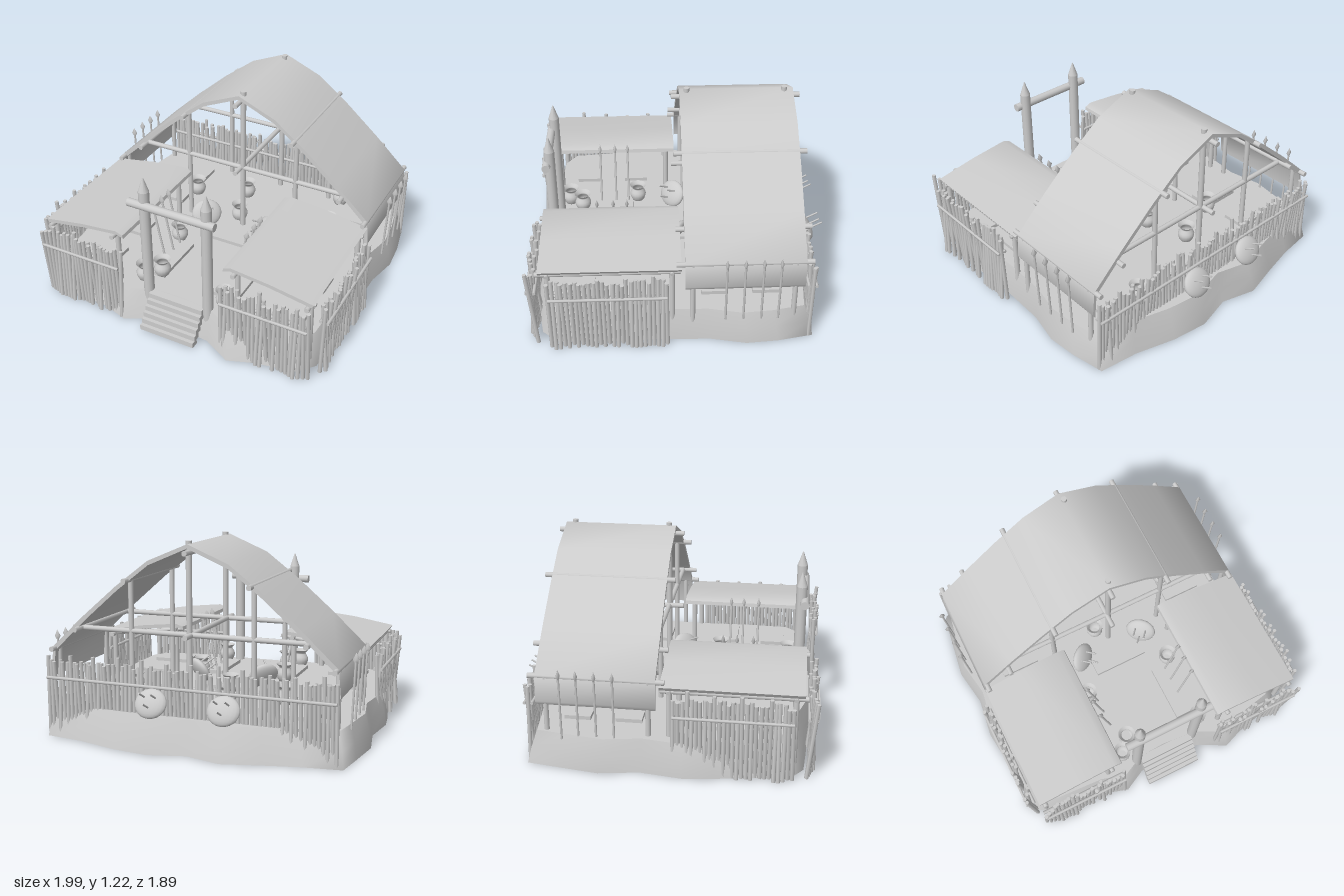
import * as THREE from 'three';
import { toCreasedNormals } from 'three/addons/utils/BufferGeometryUtils.js';

const CX = 0.0125; // centre line of the hall
const grey = new THREE.MeshStandardMaterial({ color: 0xcccccc, side: THREE.DoubleSide });
const UP = new THREE.Vector3(0, 1, 0);
let seed = 7;
const rnd = () => ((seed = (seed * 16807) % 2147483647) / 2147483647) * 2 - 1;

export function createModel() {
  const root = new THREE.Group();

  const group = (name, parent = root) => {
    const g = new THREE.Group();
    g.name = name;
    parent.add(g);
    return g;
  };
  const add = (name, geo, parent = root, x = 0, y = 0, z = 0) => {
    const m = new THREE.Mesh(geo, grey);
    m.name = name;
    m.position.set(x, y, z);
    parent.add(m);
    return m;
  };
  // round pole between two points
  const pole = (name, a, b, r, parent = root, sides = 10, rTop = r) => {
    const p = new THREE.Vector3(...a), d = new THREE.Vector3(...b).sub(p);
    const m = add(name, new THREE.CylinderGeometry(rTop, r, d.length(), sides), parent);
    m.position.copy(p).addScaledVector(d, 0.5);
    m.quaternion.setFromUnitVectors(UP, d.normalize());
    return m;
  };
  const spear = (a, b, parent) => {
    const g = group('spear', parent);
    pole('shaft', a, b, 0.007, g, 6);
    const d = new THREE.Vector3(...b).sub(new THREE.Vector3(...a)).normalize();
    const profile = [[0, -0.035], [0.02, 0], [0, 0.04]].map(p => new THREE.Vector2(...p));
    const head = add('spearHead', new THREE.LatheGeometry(profile, 6), g, ...b);
    head.quaternion.setFromUnitVectors(UP, d);
    head.scale.z = 0.6;
  };

  // earth mound, open underneath
  const outline = [[-0.93, -0.79], [-0.7, -0.82], [-0.48, -0.87], [-0.25, -0.93], [-0.03, -0.87], [0.2, -0.93],
    [0.43, -0.9], [0.68, -0.83], [0.92, -0.8], [0.96, -0.59], [0.975, -0.4], [0.93, -0.19], [0.92, 0.1],
    [0.93, 0.4], [0.92, 0.72], [0.83, 0.82], [0.58, 0.87], [0.43, 0.925], [0.25, 0.83], [0.02, 0.81],
    [-0.17, 0.82], [-0.31, 0.89], [-0.48, 0.84], [-0.8, 0.82], [-0.91, 0.74], [-0.93, 0.5],
    [-0.97, 0.3], [-0.99, 0.13], [-0.955, -0.12], [-0.995, -0.36], [-0.96, -0.6]];
  const n = outline.length;
  const levels = [[1, 1, 0], [0.985, 0.97, 0.1], [0.955, 0.93, 0.2]];
  const ring = ([sx, sz, y]) => outline.flatMap(([x, z]) => [x * sx, y, z * sz]);
  const mesh = (pos, idx) => {
    const g = new THREE.BufferGeometry();
    g.setAttribute('position', new THREE.Float32BufferAttribute(pos, 3));
    g.setIndex(idx);
    g.computeVertexNormals();
    return g;
  };
  const side = [], top = [];
  for (let i = 0; i < n; i++) {
    const j = (i + 1) % n;
    for (let k = 0; k < 2; k++) {
      const a = k * n + i, b = k * n + j;
      side.push(a, a + n, b, b, a + n, b + n);
    }
    top.push(n, j, i);
  }
  add('moundSide', mesh(levels.flatMap(ring), side));
  add('moundTop', mesh([...ring(levels[2]), 0, 0.2, 0], top));

  // thin roof: profile in x and y, drawn out along z
  const roof = (name, pts, t, z0, z1) => {
    const lower = pts.map(([x, y]) => [x + (CX - x) * t * 0.7, y - t]).reverse();
    const shape = new THREE.Shape([...pts, ...lower].map(p => new THREE.Vector2(...p)));
    const geo = new THREE.ExtrudeGeometry(shape, { depth: z1 - z0, bevelEnabled: false });
    add(name, toCreasedNormals(geo, 0.95), root, 0, 0, z0);
  };
  const half = [[0.907, 0.39], [0.893, 0.55], [0.68, 0.75], [0.46, 0.94], [0.25, 1.1]];
  roof('hallRoof', [...half.map(([x, y]) => [CX - x, y]), [CX, 1.205],
    ...half.map(([x, y]) => [CX + x, y]).reverse()], 0.025, -0.735, -0.035);

  // hall timber frame
  const frame = group('hallFrame');
  for (const z of [-0.08, -0.68]) {
    pole('ridgePost', [CX + 0.012, 0.1, z], [CX + 0.012, 1.22, z], 0.018, frame);
    pole('tieBeam', [-0.72, 0.67, z], [0.745, 0.67, z], 0.016, frame);
    for (const s of [-1, 1]) {
      pole('hallPost', [CX + s * 0.385, 0.1, z], [CX + s * 0.385, 0.985, z], 0.016, frame);
      pole('eavePost', [CX + s * 0.88, 0.05, z], [CX + s * 0.88, 0.54, z], 0.016, frame);
    }
  }
  for (const [x, y] of [[0, 1.155], [0.385, 0.98], [0.715, 0.67], [0.88, 0.54]])
    for (const s of x ? [-1, 1] : [1])
      pole('purlin', [CX + s * x, y, -0.78], [CX + s * x, y, 0.015], 0.016, frame);
  pole('floorBeam', [CX, 0.67, -0.78], [CX, 0.67, 0.015], 0.016, frame);

  // side wings: sloping roof, posts, beams
  for (const s of [-1, 1]) {
    const X = x => CX + s * x;
    roof('wingRoof', [[X(0.342), 0.575], [X(0.39), 0.592], [X(0.64), 0.565], [X(0.905), 0.52]], 0.022, -0.015, 0.81);
    const wing = group('wingFrame');
    for (const [x, y] of [[0.41, 0.55], [0.87, 0.485]]) {
      pole('wingBeam', [X(x), y, -0.01], [X(x), y, 0.83], 0.015, wing);
      for (const z of [0.04, 0.76]) pole('wingPost', [X(x), 0.08, z], [X(x), y, z], 0.017, wing);
    }
    for (const z of [0.04, 0.76]) pole('wingRafter', [X(0.36), 0.55, z], [X(0.9), 0.485, z], 0.012, wing);
  }

  // palisade of uneven stakes held by two rails
  const fence = (name, x0, z0, x1, z1) => {
    const g = group(name);
    const dx = x1 - x0, dz = z1 - z0, len = Math.hypot(dx, dz), count = Math.round(len / 0.026);
    const nx = dz / len, nz = -dx / len;
    for (let i = 0; i <= count; i++) {
      const t = i / count, lean = rnd() * 0.024, slip = rnd() * 0.006;
      const h = 0.475 + rnd() * 0.012 + (i % 6 === 3 ? 0.035 : 0);
      const x = x0 + dx * t, z = z0 + dz * t;
      pole('stake', [x - nx * lean, 0, z - nz * lean],
        [x + nx * lean + dx / len * slip, h, z + nz * lean + dz / len * slip], 0.0125, g, 6);
    }
    for (const o of [-0.022, 0.022])
      pole('rail', [x0 + nx * o, 0.37, z0 + nz * o], [x1 + nx * o, 0.37, z1 + nz * o], 0.01, g, 6);
  };
  fence('frontFenceRight', -0.89, 0.86, -0.33, 0.86);
  fence('frontFenceLeft', 0.36, 0.86, 0.915, 0.86);
  fence('sideFenceRight', -0.938, 0.07, -0.938, 0.755);
  fence('sideFenceLeft', 0.962, 0.07, 0.962, 0.755);
  fence('backFence', -0.89, -0.78, 0.915, -0.78);

  // gate with sharpened posts
  const gate = group('gate');
  for (const x of [-0.187, 0.225]) {
    pole('gatePost', [x, 0.06, 0.765], [x, 0.91, 0.765], 0.033, gate, 12);
    pole('gatePoint', [x, 0.91, 0.765], [x, 1.0, 0.765], 0.033, gate, 12, 0.003);
  }
  pole('gateBeam', [-0.285, 0.82, 0.785], [0.29, 0.82, 0.785], 0.026, gate, 12);

  // entrance steps
  const steps = group('steps');
  for (let i = 0; i < 6; i++)
    add('step', new THREE.BoxGeometry(0.37, 0.034, 0.05), steps, 0.02, 0.017 + i * 0.033, 0.9 - i * 0.023);

  // spears outside the hall and leaning by the wings
  const spears = group('spears');
  for (const z of [-0.27, -0.375, -0.48, -0.58])
    for (const s of [-1, 1]) spear([CX + s * 0.935, 0.17, z], [CX + s * 0.952, 0.58, z], spears);
  for (const z of [0.3, 0.385, 0.485])
    for (const s of [-1, 1]) spear([CX + s * 0.25, 0.2, z], [CX + s * 0.325, 0.585, z], spears);

  // clay pots
  const potProfile = new THREE.SplineCurve([[0.001, 0], [0.036, 0.004], [0.054, 0.05], [0.04, 0.085],
    [0.036, 0.098], [0.055, 0.12]].map(p => new THREE.Vector2(...p))).getPoints(14);
  const potGeo = new THREE.LatheGeometry(potProfile, 16);
  const pots = group('pots');
  for (const [x, z, y = 0.2] of [[-0.28, 0.235], [0.315, 0.235], [-0.185, 0.61], [-0.26, 0.695], [0.3, 0.695],
    [-0.04, -0.16], [-0.45, -0.31], [-0.12, -0.44], [0.5, -0.65], [0.55, -0.31]]) add('pot', potGeo, pots, x, y, z);

  // sleeping mats
  const mats = group('mats');
  for (const s of [-1, 1]) {
    add('mat', new THREE.BoxGeometry(0.175, 0.03, 0.37), mats, CX + s * 0.255, 0.208, 0.455);
    for (const z of [0.25, 0.58]) add('mat', new THREE.BoxGeometry(0.25, 0.03, 0.16), mats, CX + s * 0.65, 0.208, z);
    for (const z of [-0.22, -0.53]) add('mat', new THREE.BoxGeometry(0.25, 0.03, 0.16), mats, CX + s * 0.62, 0.208, z);
  }
  add('hearthMat', new THREE.BoxGeometry(0.36, 0.03, 0.24), mats, 0.02, 0.208, 0.015);

  // round shields pierced by three darts
  const shield = (x, y, z, face) => {
    const g = group('shield');
    add('disc', new THREE.SphereGeometry(0.1, 20, 12), g).scale.set(1, 0.9, 0.36);
    for (const [dx, dy] of [[-0.035, 0.03], [0.035, 0.03], [0, -0.03]])
      pole('dart', [dx, dy, 0], [dx, dy, 0.11], 0.006, g, 6);
    g.position.set(x, y, z);
    g.rotation.set(-0.5, face, 0, 'YXZ');
  };
  for (const x of [-0.25, 0.2]) shield(x, 0.285, -0.85, Math.PI);
  for (const s of [-1, 1]) shield(CX + s * 0.22, 0.29, 0.0, -s * 0.7);

  return root;
}
